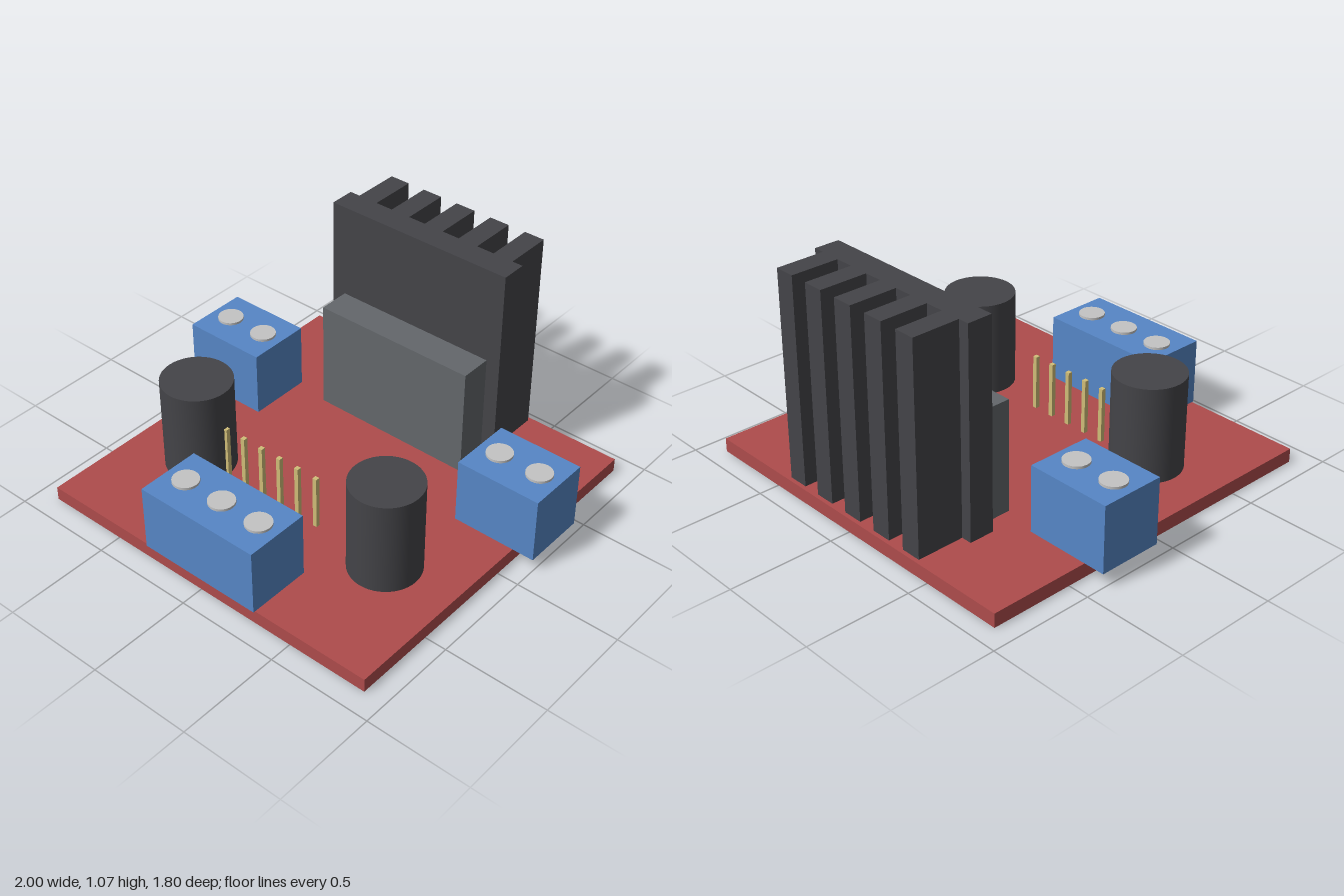
import * as THREE from 'three';

const mat = (name, color) => {
  const m = new THREE.MeshStandardMaterial({ color });
  m.name = name;
  return m;
};

export function createModel() {
  const red = mat('board red', 0xae4c4c);
  const blue = mat('terminal blue', 0x5686c6);
  const dark = mat('dark grey', 0x444448);
  const grey = mat('chip grey', 0x63676b);
  const silver = mat('screw silver', 0xc4c4c4);
  const brass = mat('pin brass', 0xd0bd78);

  const model = new THREE.Group();
  model.name = 'driverBoard';
  const deck = 0.067; // top of the circuit board

  const add = (parent, name, geometry, material, x, y, z) => {
    const mesh = new THREE.Mesh(geometry, material);
    mesh.name = name;
    mesh.position.set(x, y, z);
    parent.add(mesh);
    return mesh;
  };

  // A box given by its limits on each axis
  const block = (parent, name, material, [x0, x1], [y0, y1], [z0, z1]) =>
    add(parent, name, new THREE.BoxGeometry(x1 - x0, y1 - y0, z1 - z0), material,
      (x0 + x1) / 2, (y0 + y1) / 2, (z0 + z1) / 2);

  // Circuit board
  block(model, 'circuitBoard', red, [-0.897, 0.895], [0, deck], [-0.902, 0.89]);

  // Screw terminals: blue block with a row of low screw heads
  const terminal = (name, x, z, width, screws) => {
    const group = new THREE.Group();
    group.name = name;
    block(group, 'terminalBlock', blue, [x - width / 2, x + width / 2], [deck, 0.386], [z - 0.156, z + 0.156]);
    for (let i = 0; i < screws; i++) {
      add(group, 'screwHead', new THREE.CylinderGeometry(0.061, 0.061, 0.012, 32), silver,
        x + (i - (screws - 1) / 2) * 0.208, 0.392, z - 0.002);
    }
    model.add(group);
  };
  terminal('rightTerminal', -0.793, -0.258, 0.414, 2);
  terminal('leftTerminal', 0.793, -0.258, 0.414, 2);
  terminal('frontTerminal', -0.002, 0.743, 0.625, 3);

  // Capacitors
  for (const [name, x] of [['rightCapacitor', -0.543], ['leftCapacitor', 0.539]]) {
    add(model, name, new THREE.CylinderGeometry(0.166, 0.166, 0.46, 48), dark, x, deck + 0.23, 0.327);
  }

  // Header pins
  for (let i = 0; i < 6; i++) {
    add(model, 'headerPin', new THREE.BoxGeometry(0.021, 0.266, 0.021), brass,
      -0.373 + i * 0.105, deck + 0.133, 0.325);
  }

  // Driver chip standing against the heat sink
  block(model, 'driverChip', grey, [-0.411, 0.407], [deck, 0.603], [-0.529, -0.374]);

  // Heat sink: comb outline extruded upwards (shape y runs towards the back)
  const comb = new THREE.Shape();
  comb.moveTo(-0.48, 0.528);
  comb.lineTo(0.476, 0.528);
  comb.lineTo(0.476, 0.65);
  for (let i = 2; i >= -2; i--) {
    const x = -0.002 + i * 0.188;
    comb.lineTo(x + 0.05, 0.65);
    comb.lineTo(x + 0.05, 0.882);
    comb.lineTo(x - 0.05, 0.882);
    comb.lineTo(x - 0.05, 0.65);
  }
  comb.lineTo(-0.48, 0.65);
  comb.closePath();
  const sink = new THREE.ExtrudeGeometry(comb, { depth: 0.998, bevelEnabled: false });
  sink.rotateX(-Math.PI / 2);
  add(model, 'heatSink', sink, dark, 0, deck, 0);

  return model;
}
